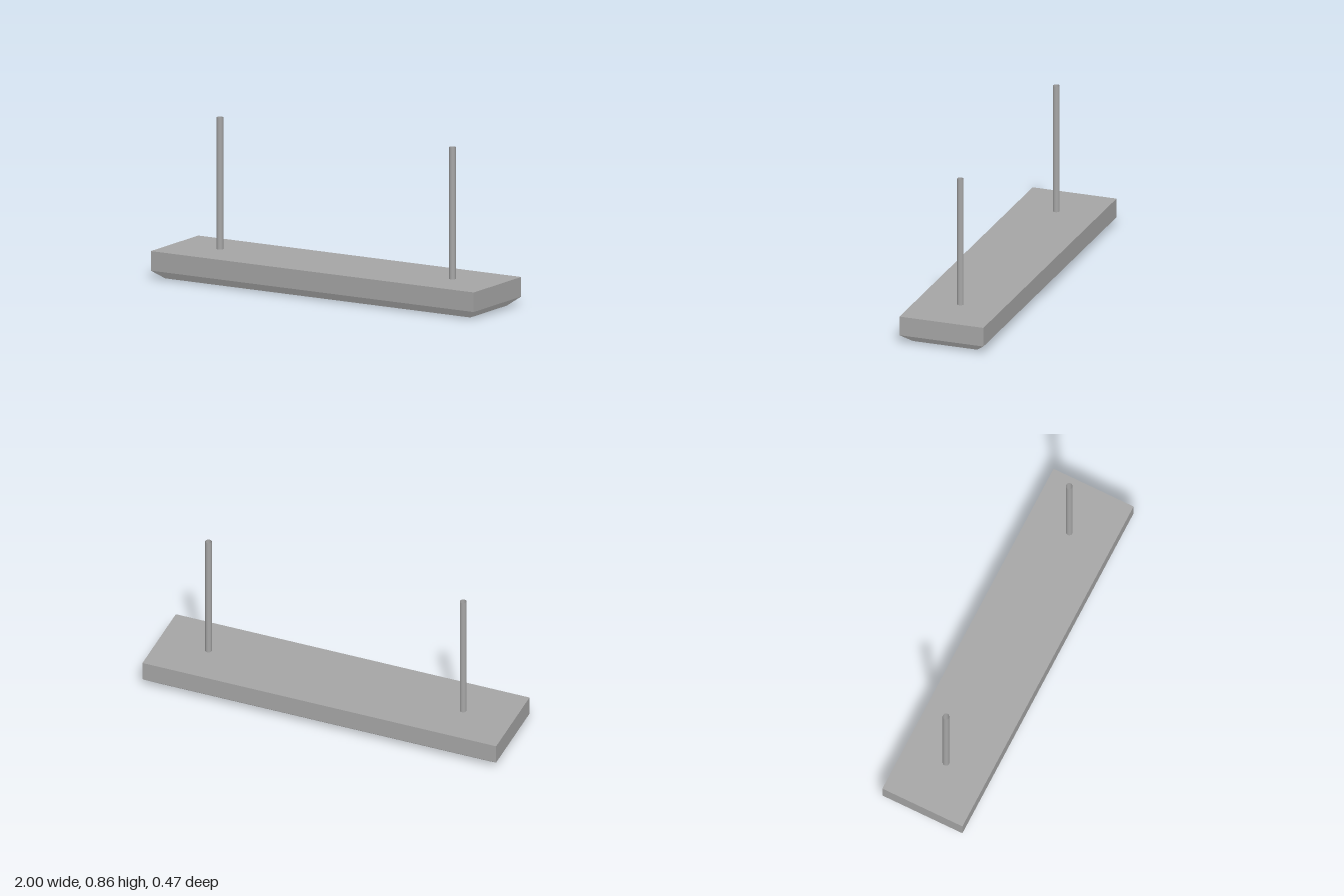
import * as THREE from 'three';

const W = 2, D = 0.47;          // footprint of the housing
const LIP = 0.045, TOP = 0.15;  // height of the bevel and of the housing
const INSET = 0.055;            // how far the underside is drawn in

export function createModel() {
  const group = new THREE.Group();
  const grey = new THREE.MeshStandardMaterial({ color: 0xa6a6a6, side: THREE.DoubleSide });
  grey.name = 'grey metal';
  const pale = new THREE.MeshStandardMaterial({ color: 0xd8d8d8, side: THREE.DoubleSide });
  pale.name = 'pale diffuser';

  const add = (name, geometry, material, x, y, z = 0) => {
    const mesh = new THREE.Mesh(geometry, material);
    mesh.name = name;
    mesh.position.set(x, y, z);
    group.add(mesh);
  };

  // Box without one of its faces (2 = top, 3 = bottom), where the two halves meet
  const openBox = (height, face) => {
    const box = new THREE.BoxGeometry(W, height, D);
    const index = Array.from(box.index.array);
    index.splice(face * 6, 6);
    box.setIndex(index);
    return box.toNonIndexed();
  };

  // Housing
  add('housing', openBox(TOP - LIP, 3), grey, 0, (TOP + LIP) / 2);

  // Diffuser: the lower corners are drawn in to make the bevel
  const diffuser = openBox(LIP, 2);
  const p = diffuser.attributes.position;
  for (let i = 0; i < p.count; i++) {
    if (p.getY(i) > 0) continue;
    p.setX(i, Math.sign(p.getX(i)) * (W / 2 - INSET));
    p.setZ(i, Math.sign(p.getZ(i)) * (D / 2 - INSET));
  }
  diffuser.computeVertexNormals();
  add('diffuser', diffuser, pale, 0, LIP / 2);

  // Pair of hanging rods, open tubes
  const length = 0.707;
  for (const [name, side] of [['leftRod', 1], ['rightRod', -1]]) {
    const tube = new THREE.CylinderGeometry(0.0175, 0.0175, length, 24, 1, true);
    add(name, tube, grey, side * 0.72, TOP + length / 2, -0.002);
  }
  return group;
}
